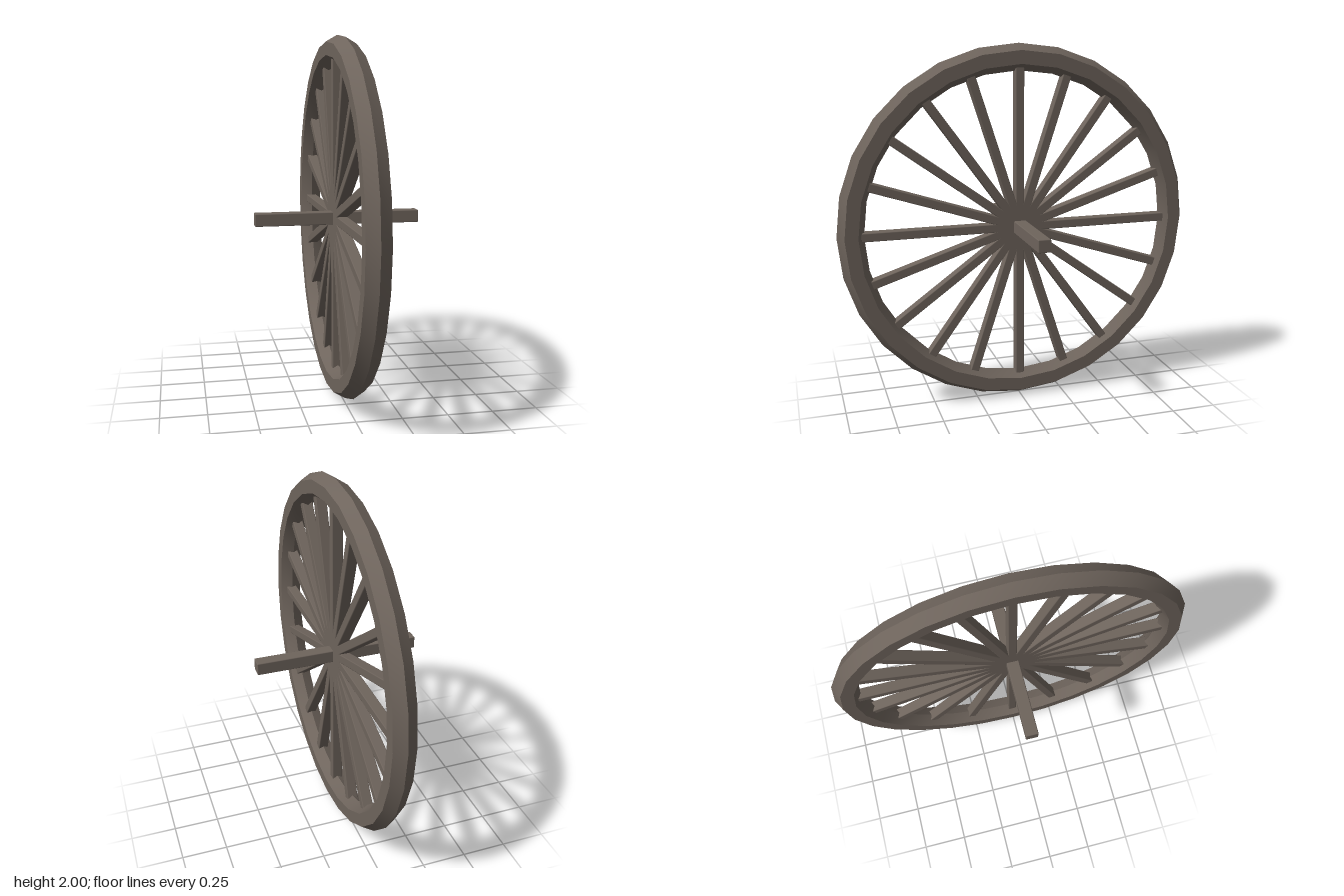
import * as THREE from 'three';
import { toCreasedNormals } from 'three/addons/utils/BufferGeometryUtils.js';
import { RoundedBoxGeometry } from 'three/addons/geometries/RoundedBoxGeometry.js';

const RIM_RADIUS = 0.928;
const RIM_TUBE = 0.072;
const BARS = 10; // each bar crosses the hub and makes two spokes

export function createModel() {
  const wood = new THREE.MeshStandardMaterial({ color: 0x6e645c });
  wood.name = 'weatheredWood';

  const wheel = new THREE.Group();
  wheel.name = 'wheel';
  wheel.position.y = 1;

  const add = (name, geometry) => {
    const mesh = new THREE.Mesh(geometry, wood);
    mesh.name = name;
    wheel.add(mesh);
    return mesh;
  };

  // Rim: ring of hexagonal section, smooth around, sharp across
  const ring = new THREE.TorusGeometry(RIM_RADIUS, RIM_TUBE, 6, 28);
  ring.rotateY(Math.PI / 2);
  add('rim', toCreasedNormals(ring, 0.5));

  // Spokes: slightly bevelled bars spanning the rim
  const bar = new RoundedBoxGeometry(0.06, 1.75, 0.048, 1, 0.005);
  for (let i = 0; i < BARS; i++) {
    add('spokePair' + (i + 1), bar).rotation.x = (i * Math.PI) / BARS;
  }

  // Axle: square beam through the hub
  add('axle', new RoundedBoxGeometry(0.925, 0.07, 0.07, 1, 0.005));

  const model = new THREE.Group();
  model.name = 'spokedWheel';
  model.add(wheel);
  return model;
}
